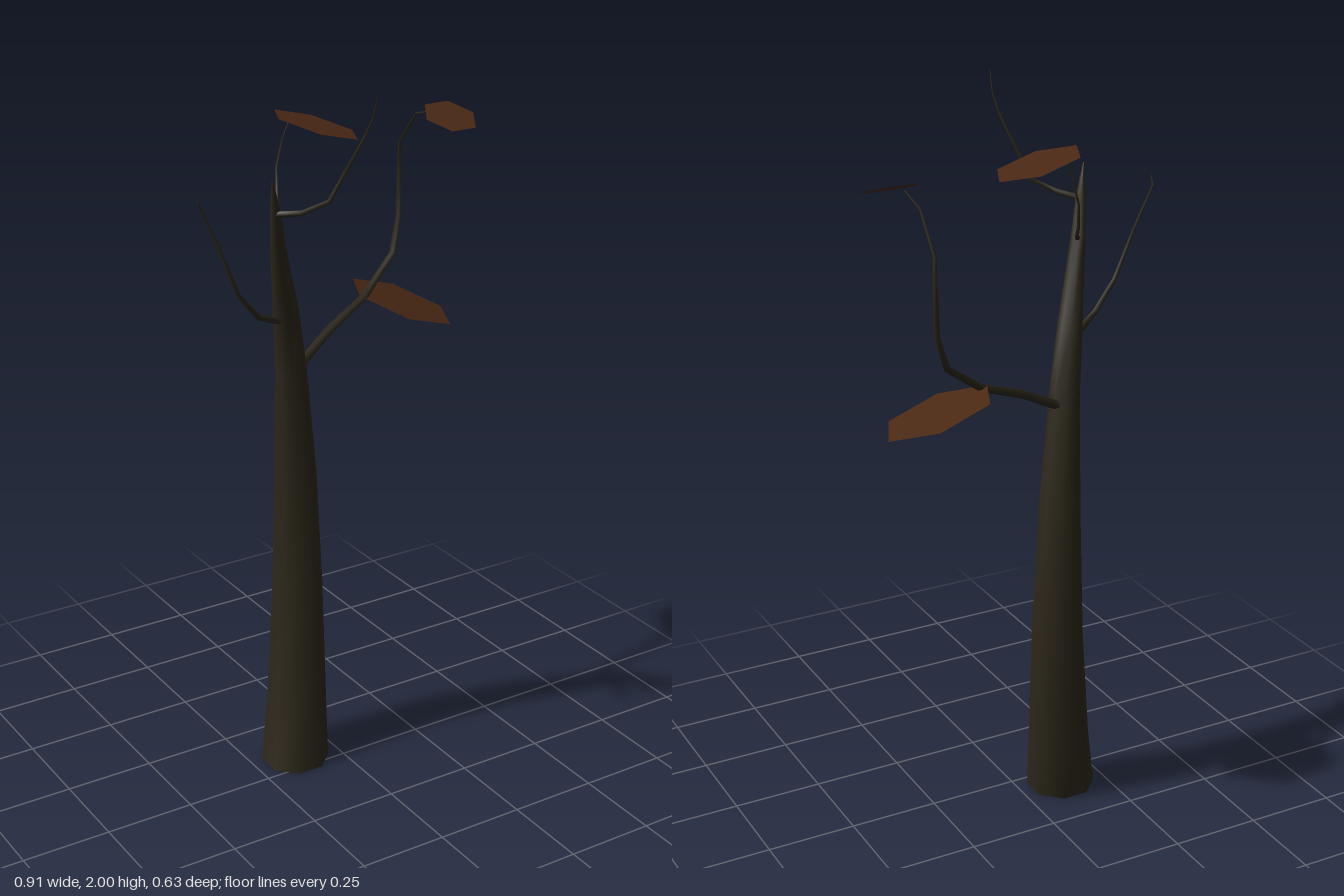
import * as THREE from 'three';

const bark = new THREE.MeshStandardMaterial({ color: 0x2c271a });
const leafMat = new THREE.MeshStandardMaterial({ color: 0x4a2814, side: THREE.DoubleSide });
const UP = new THREE.Vector3(0, 1, 0);

// Tapered limb: rings swept along a bent path, each row is [x, y, z, radius]
function limb(name, rows, sides, startDir) {
  const pts = rows.map(r => new THREE.Vector3(r[0], r[1], r[2]));
  const last = pts.length - 1;
  const dir = i => pts[i + 1].clone().sub(pts[i]).normalize();
  const pos = [], idx = [];
  let prev = UP.clone();
  const u = new THREE.Vector3(0, 0, 1), v = new THREE.Vector3(1, 0, 0);
  const q = new THREE.Quaternion();
  pts.forEach((p, i) => {
    let t;
    if (i === 0) t = startDir ? startDir.clone() : dir(0);
    else if (i === last) t = dir(last - 1);
    else t = dir(i - 1).add(dir(i)).normalize();
    q.setFromUnitVectors(prev, t);
    u.applyQuaternion(q);
    v.applyQuaternion(q);
    prev = t;
    for (let j = 0; j < sides; j++) {
      const a = ((j + 0.5) / sides) * Math.PI * 2;
      const c = p.clone().addScaledVector(u, Math.cos(a) * rows[i][3]).addScaledVector(v, Math.sin(a) * rows[i][3]);
      pos.push(c.x, c.y, c.z);
    }
  });
  for (let i = 0; i < last; i++) {
    for (let j = 0; j < sides; j++) {
      const k = (j + 1) % sides;
      const a = i * sides + j, b = i * sides + k;
      idx.push(a, b, b + sides, a, b + sides, a + sides);
    }
  }
  const geo = new THREE.BufferGeometry();
  geo.setAttribute('position', new THREE.Float32BufferAttribute(pos, 3));
  geo.setIndex(idx);
  geo.computeVertexNormals();
  const mesh = new THREE.Mesh(geo, bark);
  mesh.name = name;
  return mesh;
}

// Branch whose radius shrinks evenly along the path
function branch(name, path, r0, r1) {
  const n = path.length - 1;
  return limb(name, path.map((p, i) => [...p, r0 + (r1 - r0) * (i / n)]), 5);
}

// Thin six-sided leaf, tilted by slopes along x and z
function leaf(name, [x, y, z], radius, turn, slopeX, slopeZ) {
  const geo = new THREE.CircleGeometry(radius, 6, turn).rotateX(-Math.PI / 2);
  const p = geo.attributes.position;
  for (let i = 0; i < p.count; i++) p.setY(i, slopeX * p.getX(i) + slopeZ * p.getZ(i));
  geo.computeVertexNormals();
  const mesh = new THREE.Mesh(geo, leafMat);
  mesh.position.set(x, y, z);
  mesh.name = name;
  return mesh;
}

export function createModel() {
  const tree = new THREE.Group();
  tree.name = 'tree';

  // Trunk with closed base
  tree.add(limb('trunk', [
    [-0.125, 0, -0.063, 0.096],
    [-0.102, 0.18, -0.09, 0.085],
    [-0.077, 0.52, -0.122, 0.071],
    [-0.087, 0.87, -0.11, 0.058],
    [-0.12, 1.19, -0.072, 0.042],
    [-0.155, 1.36, -0.035, 0.035],
    [-0.232, 1.58, 0.06, 0.02],
    [-0.257, 1.68, 0.092, 0.014],
    [-0.276, 1.77, 0.112, 0.002],
  ], 8, UP));
  const base = new THREE.Mesh(new THREE.CircleGeometry(0.096, 8, Math.PI / 8).rotateX(Math.PI / 2), bark);
  base.position.set(-0.125, 0, -0.063);
  base.name = 'trunkBase';
  tree.add(base);

  // Branches
  tree.add(branch('longBranch', [
    [-0.1, 1.175, -0.085], [0.04, 1.25, -0.135], [0.18, 1.305, -0.18], [0.305, 1.395, -0.232],
    [0.345, 1.49, -0.262], [0.353, 1.6, -0.274], [0.35, 1.7, -0.266], [0.348, 1.795, -0.185], [0.348, 1.82, -0.1],
  ], 0.014, 0.002));
  tree.add(branch('rightBranch', [
    [-0.16, 1.345, -0.035], [-0.2, 1.357, -0.02], [-0.262, 1.385, 0.013], [-0.33, 1.46, 0.03],
    [-0.38, 1.6, 0.015], [-0.425, 1.715, 0.0], [-0.453, 1.728, 0.055],
  ], 0.012, 0.001));
  tree.add(branch('topBranch', [
    [-0.257, 1.68, 0.1], [-0.215, 1.69, 0.15], [-0.16, 1.72, 0.188], [-0.13, 1.8, 0.217],
    [-0.1, 1.885, 0.252], [-0.09, 1.94, 0.277], [-0.095, 2, 0.303],
  ], 0.009, 0.001));
  tree.add(branch('backBranch', [
    [-0.232, 1.58, 0.06], [-0.2, 1.602, 0.01], [-0.165, 1.62, -0.05], [-0.142, 1.66, -0.098],
    [-0.127, 1.73, -0.124], [-0.11, 1.8, -0.122], [-0.09, 1.857, -0.115],
  ], 0.008, 0.001));

  // Leaves
  tree.add(leaf('lowerLeaf', [0.31, 1.265, -0.192], 0.146, 0.1, -0.33, -0.17));
  tree.add(leaf('upperLeaf', [-0.034, 1.838, -0.08], 0.117, 0.09, -0.28, -0.1));
  tree.add(leaf('tipLeaf', [0.362, 1.815, -0.047], 0.075, 0, 0, -0.35));

  return tree;
}
